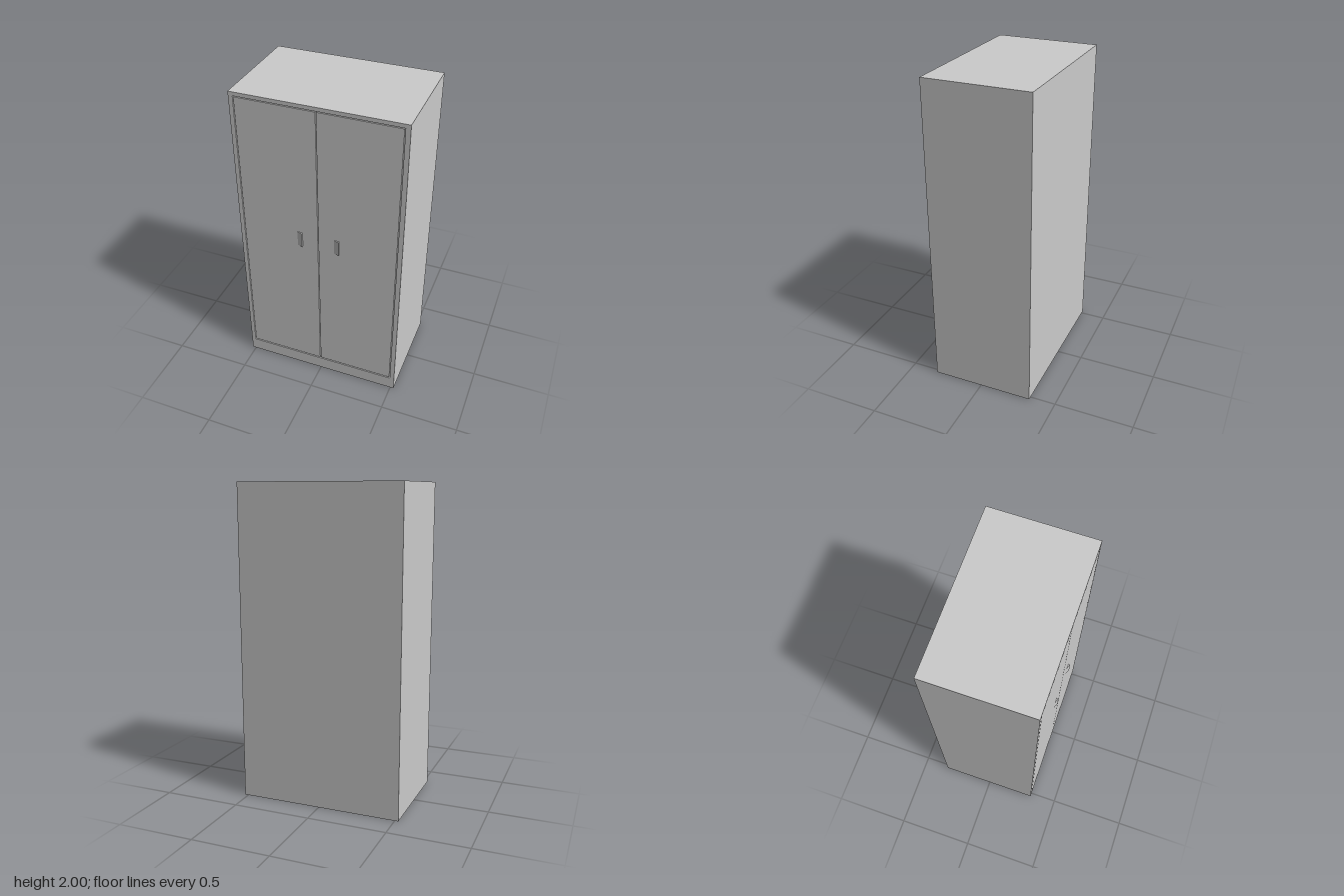
import * as THREE from 'three';

const BACK = -0.335, FRONT = 0.322, HALF_W = 0.523, HEIGHT = 2;
const OPENING = { left: -0.496, right: 0.494, bottom: 0.088, top: 1.976 };
const RECESS = 0.02;

const material = new THREE.MeshStandardMaterial({ color: 0xcccccc });

function part(name, geometry) {
  const mesh = new THREE.Mesh(geometry, material);
  mesh.name = name;
  return mesh;
}

function box(name, x0, x1, y0, y1, z0, z1) {
  const geometry = new THREE.BoxGeometry(x1 - x0, y1 - y0, z1 - z0);
  geometry.translate((x0 + x1) / 2, (y0 + y1) / 2, (z0 + z1) / 2);
  return part(name, geometry);
}

function rectangle(path, x0, x1, y0, y1) {
  path.moveTo(x0, y0).lineTo(x1, y0).lineTo(x1, y1).lineTo(x0, y1).closePath();
  return path;
}

// Carcass: a full-depth shell around the door opening
function cabinetShell() {
  const outline = rectangle(new THREE.Shape(), -HALF_W, HALF_W, 0, HEIGHT);
  const { left, right, bottom, top } = OPENING;
  outline.holes.push(rectangle(new THREE.Path(), left, right, bottom, top));
  const geometry = new THREE.ExtrudeGeometry(outline, { depth: FRONT - BACK, bevelEnabled: false });
  geometry.translate(0, 0, BACK);
  return part('cabinetShell', geometry);
}

// Handle: a slanted wedge that rises from the door towards +x
function handle(name, x) {
  const profile = new THREE.Shape();
  profile.moveTo(x, 0).lineTo(x + 0.033, 0).lineTo(x + 0.033, -0.013).closePath();
  const geometry = new THREE.ExtrudeGeometry(profile, { depth: 0.1, bevelEnabled: false });
  geometry.rotateX(-Math.PI / 2);
  geometry.translate(0, 1.04, FRONT);
  return part(name, geometry);
}

export function createModel() {
  const model = new THREE.Group();
  model.name = 'cabinet';
  const { left, right, bottom, top } = OPENING;

  // Solid core behind the doors closes the back
  model.add(cabinetShell());
  model.add(box('cabinetCore', left, right, bottom, top, BACK, FRONT - RECESS));

  // Flush double doors separated by narrow gaps
  const gap = 0.005;
  model.add(box('rightDoor', left + gap, -0.005, bottom + 0.009, top - gap, FRONT - RECESS, FRONT));
  model.add(box('leftDoor', 0, right - gap, bottom + 0.009, top - gap, FRONT - RECESS, FRONT));

  // Both handles slant the same way
  model.add(handle('rightHandle', -0.137));
  model.add(handle('leftHandle', 0.099));
  return model;
}
